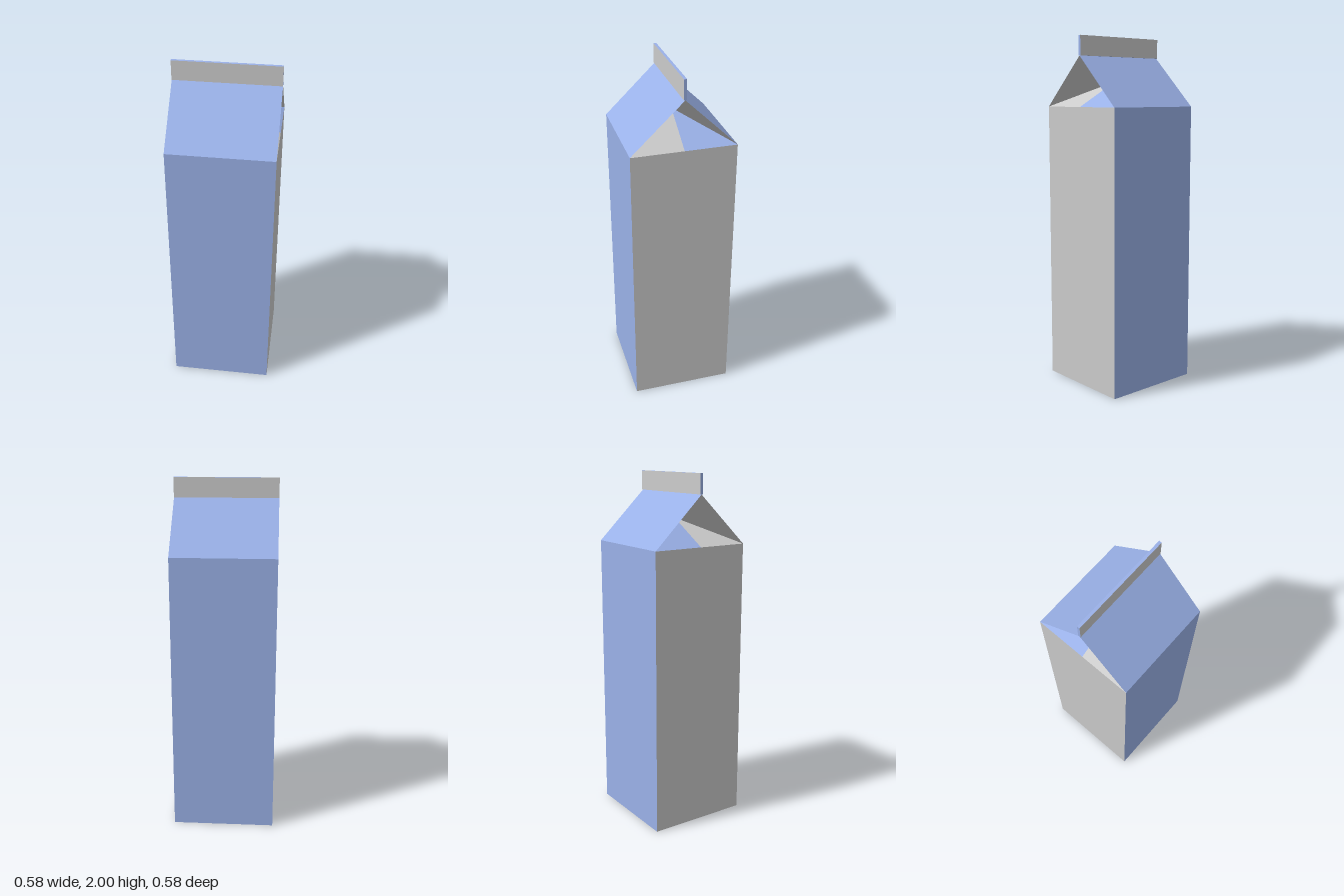
import * as THREE from 'three';

const W = 0.2915;       // half width of the square carton
const SHOULDER = 1.61;  // top of the straight walls
const RIDGE = 1.89;     // where the roof panels meet
const TOP = 2;
const FOLD_Y = 1.75;    // inner point of the folded gable ends
const FOLD_X = 0.04;

const blue = new THREE.MeshStandardMaterial({ color: 0x9ab1e8, flatShading: true, side: THREE.DoubleSide });
const grey = new THREE.MeshStandardMaterial({ color: 0xcccccc, flatShading: true, side: THREE.DoubleSide });

// Flat card panel with three or four corners, counter-clockwise from outside
function panel(name, material, ...corners) {
  const g = new THREE.BufferGeometry();
  g.setAttribute('position', new THREE.Float32BufferAttribute(corners.flat(), 3));
  g.setIndex(corners.length === 4 ? [0, 1, 2, 0, 2, 3] : [0, 1, 2]);
  g.computeVertexNormals();
  const mesh = new THREE.Mesh(g, material);
  mesh.name = name;
  return mesh;
}

export function createModel() {
  const carton = new THREE.Group();
  carton.name = 'carton';

  // Base
  carton.add(panel('base', blue, [-W, 0, -W], [W, 0, -W], [W, 0, W], [-W, 0, W]));

  for (const s of [1, -1]) {
    const end = s > 0 ? 'front' : 'back';
    const side = s > 0 ? 'left' : 'right';

    // Front and back walls with their sloping roof panels
    carton.add(panel(end + 'Wall', blue,
      [-s * W, 0, s * W], [s * W, 0, s * W], [s * W, SHOULDER, s * W], [-s * W, SHOULDER, s * W]));
    carton.add(panel(end + 'Roof', blue,
      [-s * W, SHOULDER, s * W], [s * W, SHOULDER, s * W], [s * W, RIDGE, 0], [-s * W, RIDGE, 0]));

    // Side walls
    carton.add(panel(side + 'Wall', grey,
      [s * W, 0, s * W], [s * W, 0, -s * W], [s * W, SHOULDER, -s * W], [s * W, SHOULDER, s * W]));

    // Gable end folded inwards, each half with a lower and an upper flap
    for (const t of [1, -1]) {
      const corner = [s * W, SHOULDER, t * W];
      const middle = [s * W, SHOULDER, 0];
      const fold = [s * FOLD_X, FOLD_Y, 0];
      const peak = [s * W, RIDGE, 0];
      const half = t > 0 ? 'Front' : 'Back';
      const lower = [corner, middle, fold];
      const upper = [corner, fold, peak];
      if (s * t < 0) {
        lower.reverse();
        upper.reverse();
      }
      carton.add(panel(side + half + 'LowerFlap', t > 0 ? grey : blue, ...lower));
      carton.add(panel(side + half + 'UpperFlap', grey, ...upper));
    }
  }

  // Sealed strip along the ridge: grey faces, blue edges
  const strip = new THREE.Mesh(
    new THREE.BoxGeometry(2 * W, TOP - RIDGE, 0.016),
    [blue, blue, blue, blue, grey, grey]);
  strip.name = 'topSeal';
  strip.position.y = (TOP + RIDGE) / 2;
  carton.add(strip);

  return carton;
}
